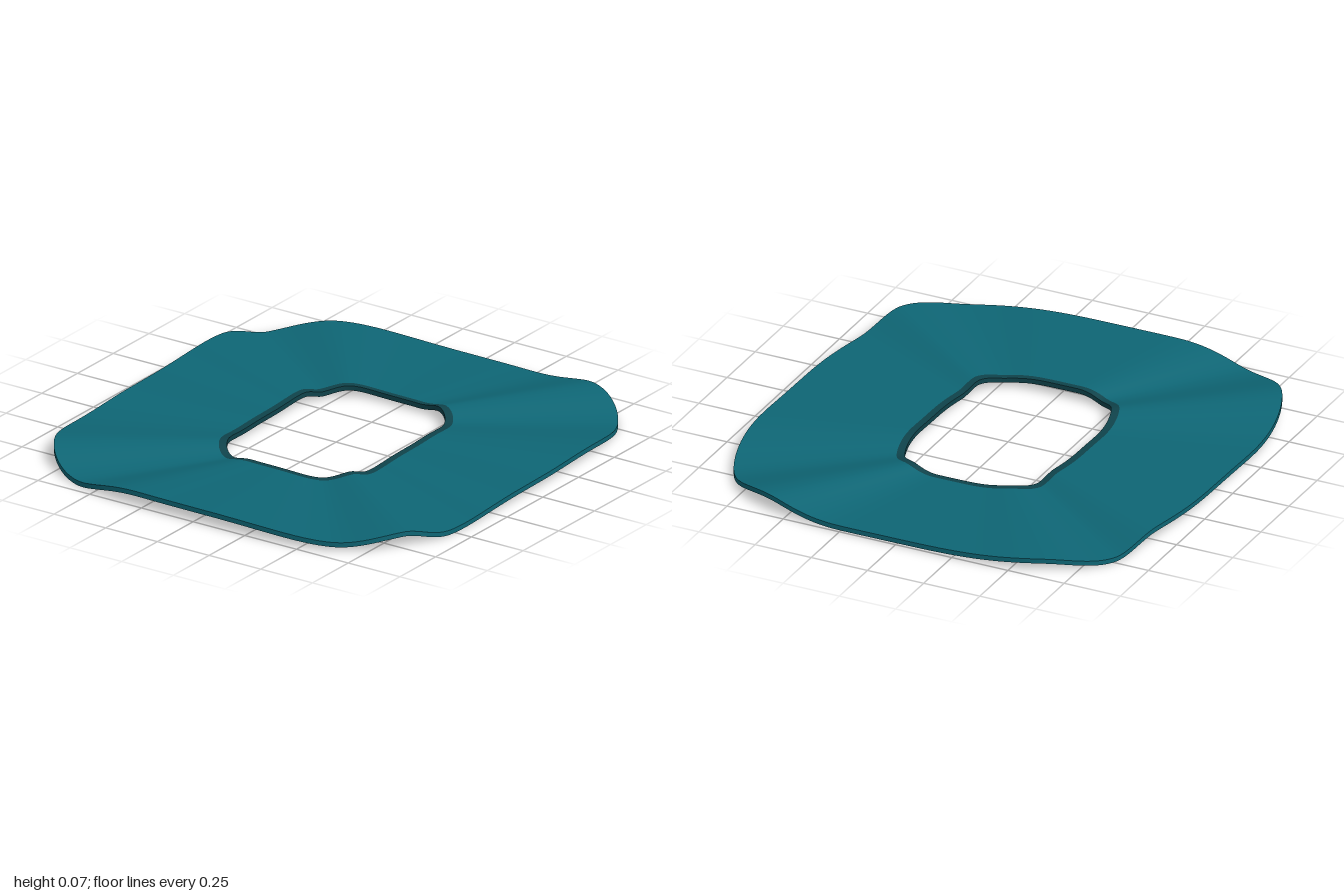
import * as THREE from 'three';

const STEPS = 360, HALF = 0.01, MID = 0.035, AMP = 0.025, POWER = 0.526;

// Ripple heights over half a turn (degrees, height); the other half is inverted.
const KNOTS = [[-65, 1], [-35, -1], [-8, 0.45], [17, -1], [35, 1], [62, -0.25], [95, 0.75], [115, -1]];

function ripple(deg) {
  let d = deg, sign = 1;
  while (d >= 115) { d -= 180; sign = -sign; }
  const i = KNOTS.findIndex((k, n) => n > 0 && d <= k[0]);
  const [a, b] = [KNOTS[i - 1], KNOTS[i]];
  return sign * THREE.MathUtils.lerp(a[1], b[1], THREE.MathUtils.smoothstep(d, a[0], b[0]));
}

// One closed rounded-rectangle loop that follows the ripple.
function ring({ a, b, side }) {
  const points = [];
  for (let i = 0; i < STEPS; i++) {
    const deg = i * 360 / STEPS, t = THREE.MathUtils.degToRad(deg);
    const bend = (v) => Math.sign(v) * Math.pow(Math.abs(v), POWER);
    points.push(a * bend(Math.cos(t)), MID + AMP * ripple(deg) * b + side * HALF, b * bend(Math.sin(t)));
  }
  return points;
}

// Smooth band of faces joining two loops.
function band(name, from, to, material) {
  const index = [];
  for (let i = 0; i < STEPS; i++) {
    const j = (i + 1) % STEPS;
    index.push(i, STEPS + i, j, j, STEPS + i, STEPS + j);
  }
  const geometry = new THREE.BufferGeometry();
  geometry.setAttribute('position', new THREE.Float32BufferAttribute([...ring(from), ...ring(to)], 3));
  geometry.setIndex(index);
  geometry.computeVertexNormals();
  const mesh = new THREE.Mesh(geometry, material);
  mesh.name = name;
  return mesh;
}

export function createModel() {
  const teal = new THREE.MeshStandardMaterial({ name: 'teal', color: 0x0e6675 });
  const darkTeal = new THREE.MeshStandardMaterial({ name: 'darkTeal', color: 0x0f434b });

  const outer = { a: 0.94, b: 1 }, trim = { a: 0.355, b: 0.47 }, hole = { a: 0.325, b: 0.445 };
  const top = (r) => ({ ...r, side: 1 }), bottom = (r) => ({ ...r, side: -1 });

  const group = new THREE.Group();
  group.name = 'rippledSheet';
  group.add(
    band('outerEdge', bottom(outer), top(outer), teal),
    band('topSurface', top(outer), top(trim), teal),
    band('holeTrim', top(trim), top(hole), darkTeal),
    band('holeEdge', top(hole), bottom(hole), darkTeal),
    band('underside', bottom(hole), bottom(outer), teal),
  );
  return group;
}
